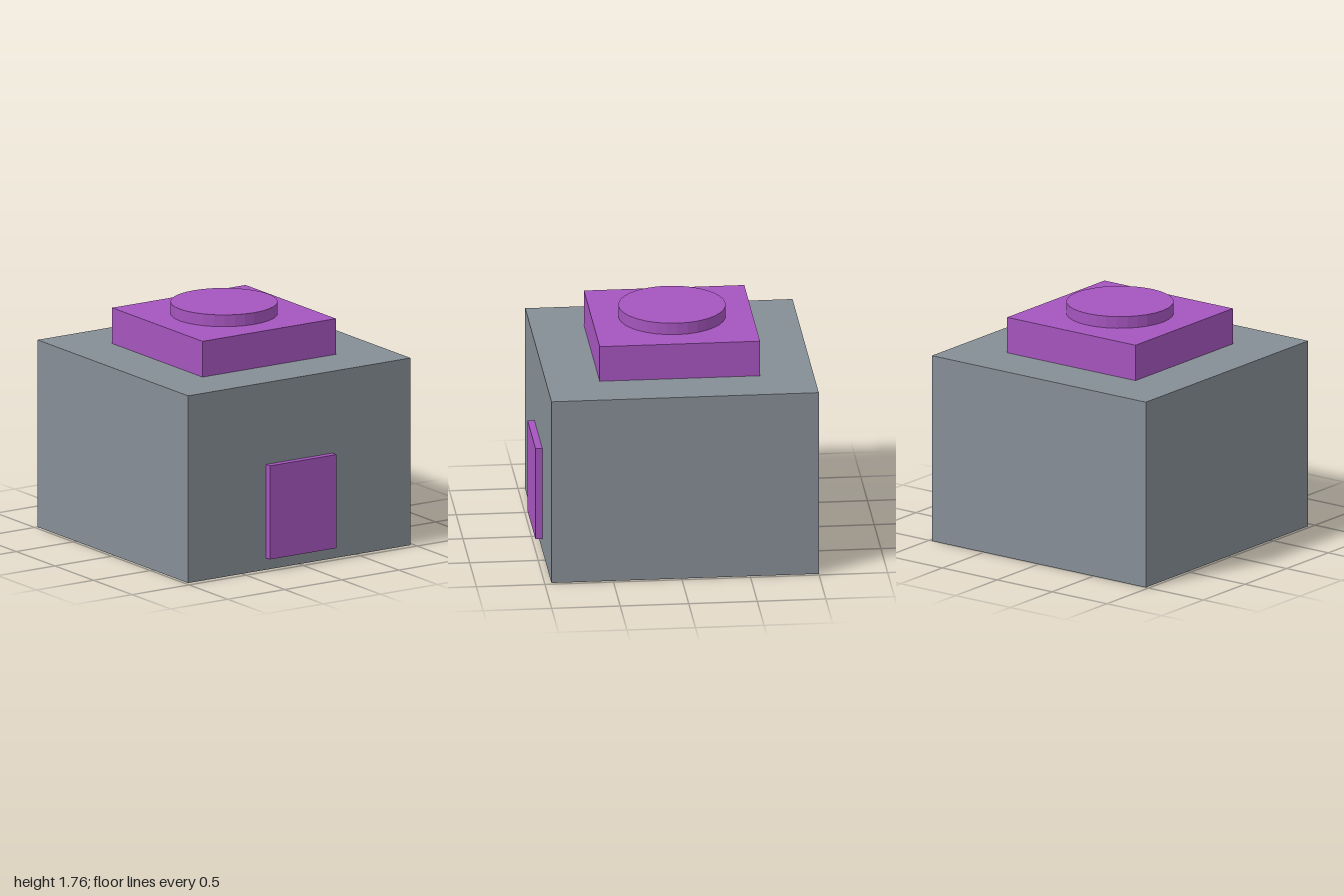
import * as THREE from 'three';

export function createModel() {
  const model = new THREE.Group();
  const grey = new THREE.MeshStandardMaterial({ color: 0x868e96 });
  const purple = new THREE.MeshStandardMaterial({ color: 0xa555be });
  const purpleFaceted = new THREE.MeshStandardMaterial({ color: 0xa555be, flatShading: true });
  const centreZ = -0.025; // the door panel pushes the body slightly back

  // Adds a part of the given height standing on level y
  function add(name, geometry, material, y, height, z = centreZ) {
    const mesh = new THREE.Mesh(geometry, material);
    mesh.name = name;
    mesh.position.set(0, y + height / 2, z);
    model.add(mesh);
  }

  // Main block
  add('body', new THREE.BoxGeometry(1.95, 1.404, 1.95), grey, 0, 1.404);

  // Stepped roof: square block with a round cap
  add('roofBlock', new THREE.BoxGeometry(1.17, 0.268, 1.17), purple, 1.404, 0.268);
  add('roofCap', new THREE.CylinderGeometry(0.39, 0.39, 0.088, 32), purpleFaceted, 1.672, 0.088);

  // Door panel standing out from the front wall
  add('door', new THREE.BoxGeometry(0.585, 0.702, 0.05), purple, 0.088, 0.702, 0.975);

  return model;
}
